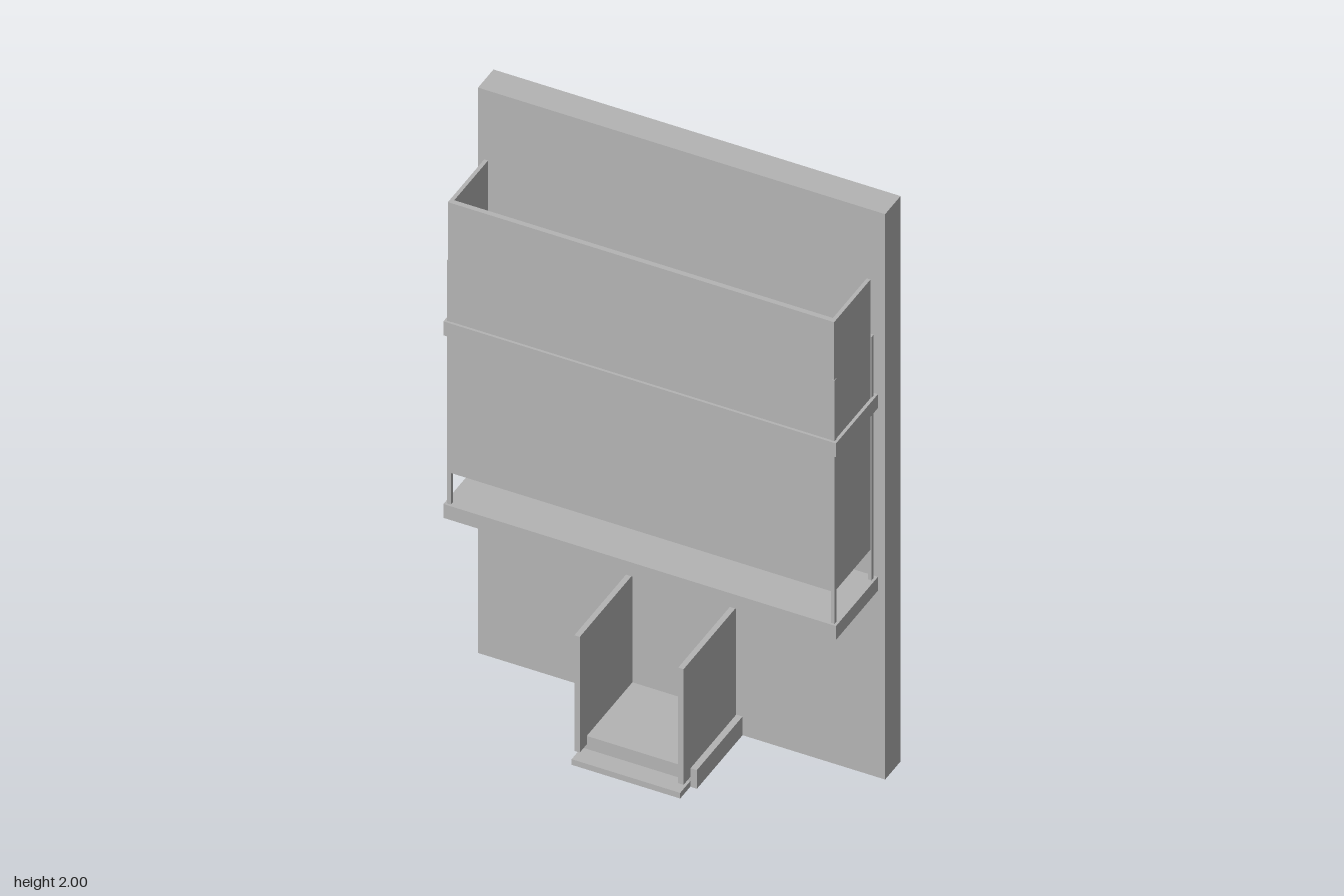
import * as THREE from 'three';

export function createModel() {
  const model = new THREE.Group();
  const grey = new THREE.MeshStandardMaterial({ color: 0xb4b4b4 });
  grey.name = 'concrete grey';

  // Box given by its limits on each axis
  function block(name, [x0, x1], [y0, y1], [z0, z1], parent = model) {
    const mesh = new THREE.Mesh(new THREE.BoxGeometry(x1 - x0, y1 - y0, z1 - z0), grey);
    mesh.position.set((x0 + x1) / 2, (y0 + y1) / 2, (z0 + z1) / 2);
    mesh.name = name;
    parent.add(mesh);
  }
  // Limits along x for a part on the left (+1) or right (-1)
  const sideX = (s, inner, outer) => (s > 0 ? [inner, outer] : [-outer, -inner]);

  // Wall slab
  block('wall', [-0.645, 0.645], [0, 2], [-0.219, -0.124]);

  // Two balcony floors with a tall screen around them
  const balcony = new THREE.Group();
  balcony.name = 'balcony';
  model.add(balcony);
  for (const y of [0.66, 1.306]) {
    block('balconyFloor', [-0.622, 0.622], [y, y + 0.049], [-0.124, 0.134], balcony);
  }
  block('frontScreen', [-0.6, 0.6], [0.82, 1.775], [0.11, 0.126], balcony);
  for (const s of [1, -1]) {
    block('sideScreen', sideX(s, 0.6, 0.612), [0.82, 1.775], [-0.098, 0.126], balcony);
    // Corner posts
    block('frontPost', sideX(s, 0.602, 0.614), [0.7, 1.57], [0.114, 0.127], balcony);
    block('rearPost', sideX(s, 0.602, 0.614), [0.7, 1.57], [-0.114, -0.101], balcony);
  }

  // Entrance porch with steps and side walls
  const porch = new THREE.Group();
  porch.name = 'porch';
  model.add(porch);
  block('landing', [-0.193, 0.193], [0, 0.066], [-0.124, 0.157], porch);
  block('lowerStep', [-0.172, 0.172], [0, 0.02], [0.157, 0.219], porch);
  for (const s of [1, -1]) {
    block('porchSideWall', sideX(s, 0.156, 0.173), [0.036, 0.445], [-0.124, 0.2], porch);
  }
  return model;
}
